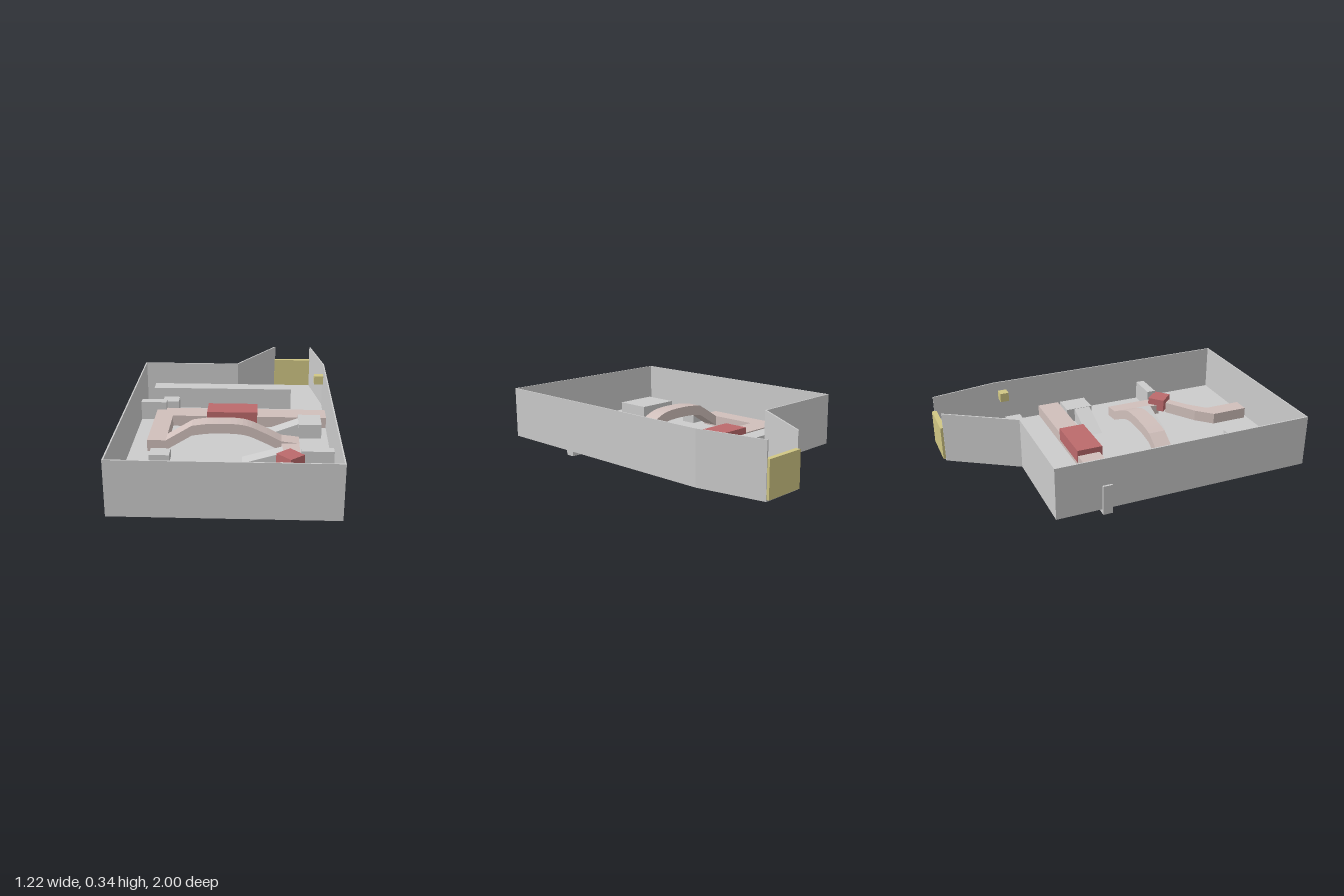
import * as THREE from 'three';

const mat = (color, extra = {}) => new THREE.MeshStandardMaterial({ color, ...extra });

export function createModel() {
  const model = new THREE.Group();
  const grey = mat(0xcccccc);
  const pink = mat(0xd0bfbb);
  const red = mat(0xbc6a6c);
  const yellow = mat(0xd0c684);

  const add = (name, geometry, material) => {
    const mesh = new THREE.Mesh(geometry, material);
    mesh.name = name;
    model.add(mesh);
    return mesh;
  };

  // Box given by its limits on each axis
  const box = (name, x0, x1, y0, y1, z0, z1, material = grey) => {
    const mesh = add(name, new THREE.BoxGeometry(x1 - x0, y1 - y0, z1 - z0), material);
    mesh.position.set((x0 + x1) / 2, (y0 + y1) / 2, (z0 + z1) / 2);
    return mesh;
  };

  // Plan outline [x, z] raised from y0 to y1
  const slab = (name, plan, y0, y1, material = grey) => {
    const shape = new THREE.Shape(plan.map(([x, z]) => new THREE.Vector2(x, -z)));
    const geometry = new THREE.ExtrudeGeometry(shape, { depth: y1 - y0, bevelEnabled: false });
    geometry.rotateX(-Math.PI / 2).translate(0, y0, 0);
    return add(name, geometry, material);
  };

  // Side profile [x, y] drawn out from z0 to z1
  const profile = (name, points, z0, z1, material = grey) => {
    const shape = new THREE.Shape(points.map(([x, y]) => new THREE.Vector2(x, y)));
    const geometry = new THREE.ExtrudeGeometry(shape, { depth: z1 - z0, bevelEnabled: false });
    return add(name, geometry.translate(0, 0, z0), material);
  };

  // Tray: floor and thin walls, open at the narrow back end
  const outer = [[0.275, -0.985], [0.02, -0.58], [-0.6, -0.58], [-0.6, 1],
    [0.608, 1], [0.608, -0.58], [0.538, -0.985]];
  const inner = [[0.285, -0.985], [0.027, -0.572], [-0.592, -0.572], [-0.592, 0.992],
    [0.6, 0.992], [0.6, -0.58], [0.53, -0.985]];
  const floor = 0.06;
  slab('floor', outer, 0.03, floor);
  slab('walls', [...outer, ...inner.reverse()], 0.03, 0.345);

  // Back gate and wall switch
  box('gate', 0.28, 0.535, 0.04, 0.25, -1, -0.97, yellow);
  box('wallSwitch', 0.54, 0.6, 0.23, 0.287, -0.555, -0.5, yellow);

  // Slabs that pass through the floor and serve as feet
  box('footSlab', -0.612, -0.428, 0, 0.18, -0.31, -0.253);
  box('footSlab', 0.415, 0.605, 0, 0.18, 0.435, 0.49);

  // Loose blocks on the floor: x0, x1, top, z0, z1
  [[-0.535, 0.385, 0.2, -0.572, -0.475], [-0.465, -0.36, 0.145, -0.455, -0.36],
    [-0.455, -0.338, 0.11, 0.32, 0.418], [-0.455, -0.338, 0.11, 0.505, 0.602],
    [-0.487, -0.21, 0.14, 0.67, 0.9], [0.42, 0.56, 0.15, -0.145, 0.025],
  ].forEach(([x0, x1, top, z0, z1]) => box('block', x0, x1, floor, top, z0, z1));

  // Sloping ramps
  [[0.19, 0.425, -0.093, 0.01, 0.15], [0.08, 0.315, 0.31, 0.405, 0.13]].forEach(([x0, x1, z0, z1, top]) =>
    profile('ramp', [[x0, floor], [x1, floor], [x1, top]], z0, z1));

  // Raised walkway: flat back and side legs
  const deck = 0.13;
  slab('backWalkway', [[-0.487, -0.285], [0.6, -0.285], [0.6, -0.148], [-0.375, -0.148],
    [-0.375, 0.25], [-0.487, 0.25]], floor, deck, pink);

  // Arched bridge of even thickness
  const curve = new THREE.SplineCurve([[-0.22, 0.225], [-0.1, 0.24], [0.08, 0.235], [0.2, 0.19],
    [0.31, 0.135]].map(([x, y]) => new THREE.Vector2(x, y)));
  const top = [[-0.375, deck], ...curve.getPoints(20).map((p) => [p.x, p.y]), [0.415, deck - 0.007]];
  const under = top.map(([x, y]) => [x, y - 0.062]).reverse();
  profile('bridge', [...top, ...under], 0.147, 0.25, pink);

  // Walkway to the turntable, then the bent front walkway
  slab('linkWalkway', [[0.31, 0.25], [0.415, 0.25], [0.415, 0.47], [0.31, 0.47]], floor, deck - 0.007, pink);
  slab('frontWalkway', [[0.03, 0.972], [0.03, 0.738], [0.122, 0.645], [0.31, 0.52],
    [0.38, 0.54], [0.235, 0.638], [0.132, 0.738], [0.132, 0.972]], floor, deck, pink);

  // Red pads on the walkway
  box('redBar', -0.155, 0.163, 0.085, 0.165, -0.288, -0.13, red);
  slab('redDiamond', [[0.355, 0.413], [0.435, 0.5], [0.355, 0.572], [0.275, 0.487]], 0.085, 0.165, red);

  return model;
}
